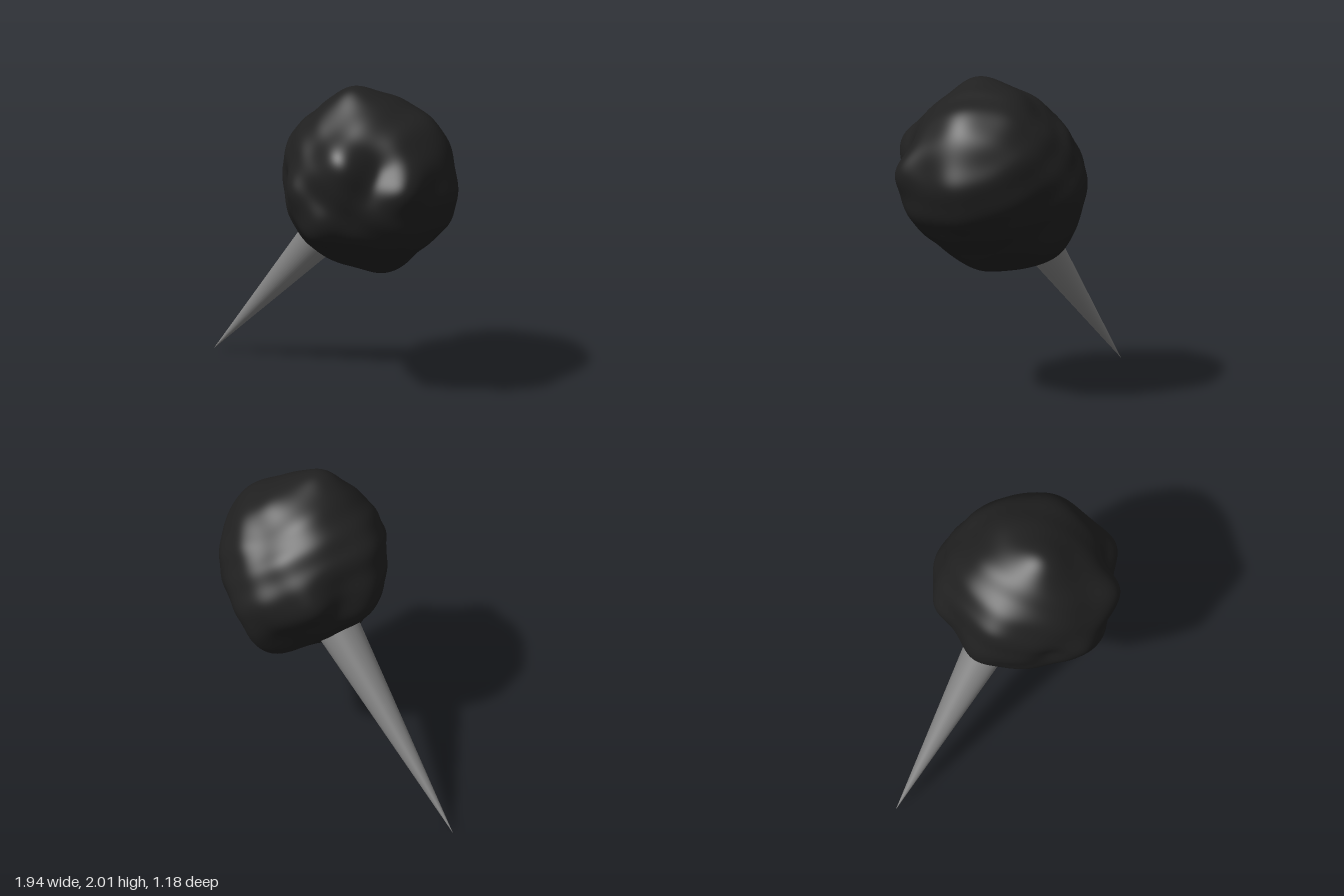
import * as THREE from 'three';
import { mergeVertices } from 'three/addons/utils/BufferGeometryUtils.js';

const CENTRE = new THREE.Vector3(0.395, 1.415, 0);
const BASE_RADIUS = 0.54;
const SHARPNESS = 25;

// Lumps and dents of the boulder: direction x, y, z and height
const BUMPS = [
  // top and sides
  [-0.1, 1, 0.22, 0.06], [0.8, 0.6, 0, 0.035], [1, 0, 0, 0.028],
  [0.93, -0.4, -0.1, 0.03], [-0.88, 0.45, 0, 0.035], [-1, -0.1, -0.2, 0.058],
  // underside
  [0.25, -1, 0, 0.05], [0, -1, -0.4, 0.05], [-0.5, -0.85, 0, 0.05],
  // front lobes and grooves
  [0.17, 0.33, 1, 0.082], [-0.2, -0.5, 1, 0.065], [-0.5, 0, 0.85, 0.055],
  [-0.1, -0.8, 0.75, -0.03], [0.5, 0.25, 0.8, -0.07], [0.72, 0.1, 0.7, 0.085],
  [0.7, -0.4, 0.6, 0.04], [-0.72, 0, 0.67, -0.05],
  // back
  [0.13, -0.15, -1, 0.04], [-0.25, -0.1, -1, 0.04], [0, -0.8, -0.75, 0.09],
  [0, -0.45, -0.88, 0.05], [-0.67, 0, -0.74, 0.055], [-0.84, 0, -0.5, -0.04],
  [0, 0.7, -0.72, -0.04],
].map(([x, y, z, height]) => ({ dir: new THREE.Vector3(x, y, z).normalize(), height }));

function radiusAlong(d) {
  let r = BASE_RADIUS;
  for (const b of BUMPS) r += b.height * Math.exp(-SHARPNESS * (1 - d.dot(b.dir)));
  // fine ripple over the whole surface
  return r + 0.005 * Math.sin(11 * d.x + 3 * d.y) * Math.sin(13 * d.y + 2 * d.z);
}

function boulderGeometry() {
  const ball = new THREE.IcosahedronGeometry(1, 40);
  ball.deleteAttribute('normal');
  ball.deleteAttribute('uv');
  const geo = mergeVertices(ball);
  const pos = geo.attributes.position;
  const d = new THREE.Vector3();
  for (let i = 0; i < pos.count; i++) {
    d.fromBufferAttribute(pos, i).normalize();
    d.multiplyScalar(radiusAlong(d));
    pos.setXYZ(i, d.x, d.y, d.z);
  }
  geo.computeVertexNormals();
  return geo;
}

export function createModel() {
  const model = new THREE.Group();
  model.name = 'boulderOnSpike';

  const boulder = new THREE.Mesh(
    boulderGeometry(),
    new THREE.MeshStandardMaterial({ color: 0x202020 })
  );
  boulder.name = 'boulder';
  boulder.position.copy(CENTRE);
  model.add(boulder);

  // Spike: from its tip on the ground to inside the boulder
  const tip = new THREE.Vector3(-0.97, 0, -0.35);
  const axis = new THREE.Vector3(0.98, 1, 0.23).normalize();
  const length = 1.75;
  const spike = new THREE.Mesh(
    new THREE.ConeGeometry(length * 0.093, length, 48),
    new THREE.MeshStandardMaterial({ color: 0x808080 })
  );
  spike.name = 'spike';
  spike.position.copy(tip).addScaledVector(axis, length / 2);
  spike.quaternion.setFromUnitVectors(new THREE.Vector3(0, -1, 0), axis);
  model.add(spike);

  return model;
}
